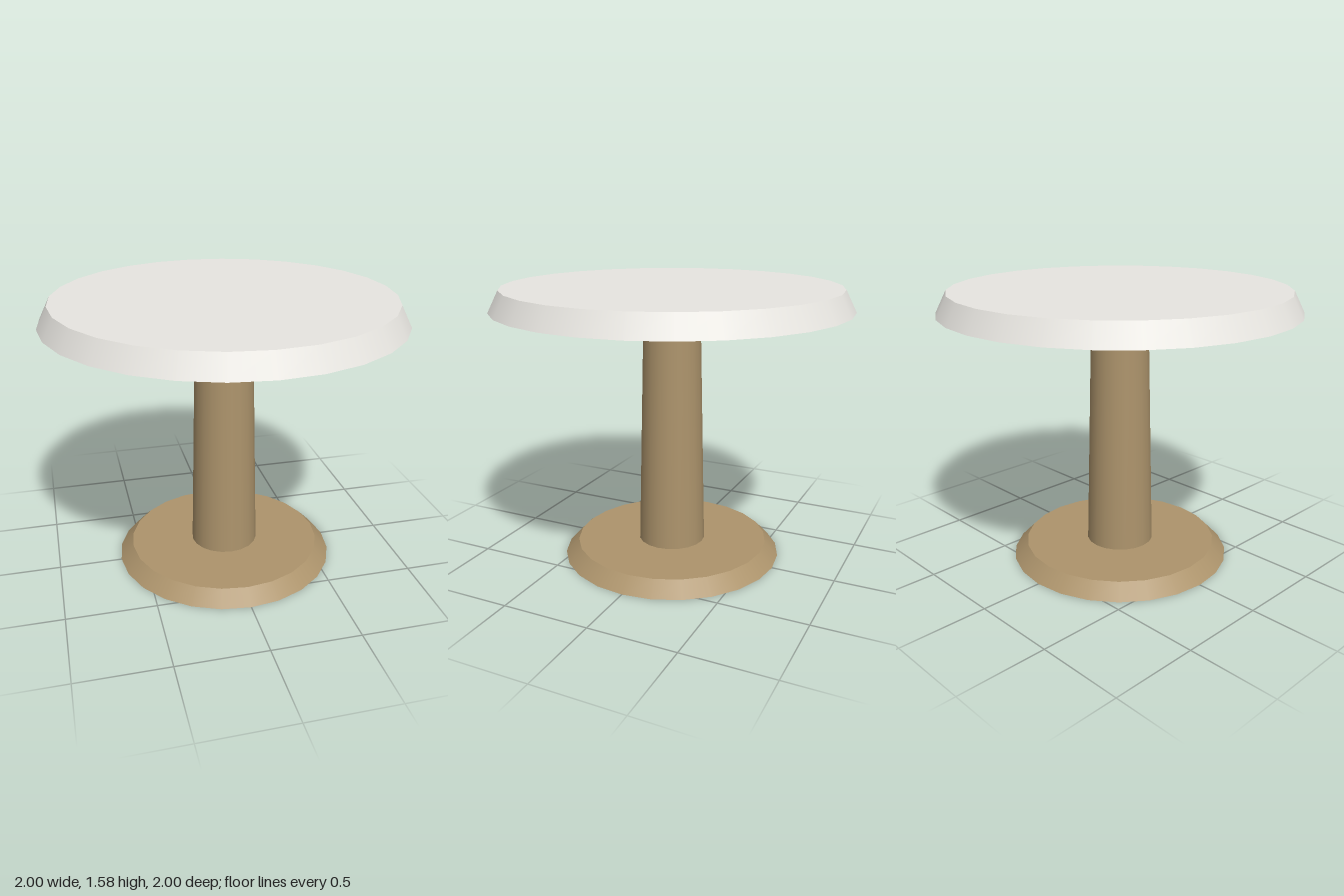
import * as THREE from 'three';

export function createModel() {
  const group = new THREE.Group();
  const white = new THREE.MeshStandardMaterial({ color: 0xe8e6e1 });
  const wood = new THREE.MeshStandardMaterial({ color: 0xad946c });

  // Tapered round part standing between two heights
  function addRound(name, rTop, rBottom, y0, y1, sides, material) {
    const mesh = new THREE.Mesh(
      new THREE.CylinderGeometry(rTop, rBottom, y1 - y0, sides), material);
    mesh.name = name;
    mesh.position.y = (y0 + y1) / 2;
    group.add(mesh);
  }

  addRound('base', 0.56, 0.637, 0, 0.08, 24, wood);
  addRound('column', 0.16, 0.195, 0.08, 1.465, 20, wood);
  addRound('tableTop', 0.94, 1, 1.465, 1.583, 28, white);
  return group;
}
